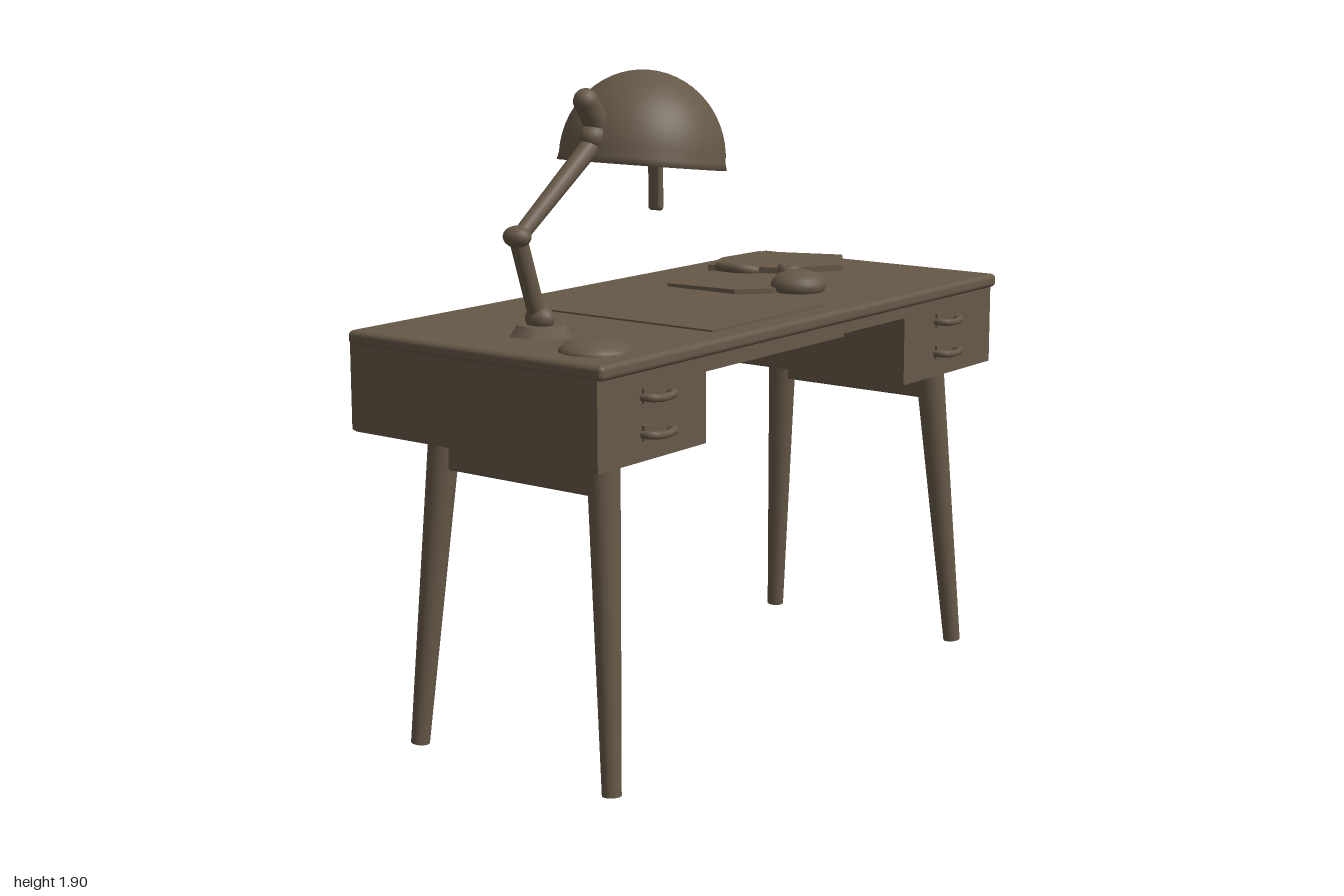
import * as THREE from 'three';
import { RoundedBoxGeometry } from 'three/addons/geometries/RoundedBoxGeometry.js';

const brown = new THREE.MeshStandardMaterial({ color: 0x665847, side: THREE.DoubleSide });
brown.name = 'dark brown';

export function createModel() {
  const model = new THREE.Group();
  model.name = 'deskWithLamp';
  const V = (x, y, z) => new THREE.Vector3(x, y, z);

  const add = (name, geometry, x = 0, y = 0, z = 0) => {
    const mesh = new THREE.Mesh(geometry, brown);
    mesh.name = name;
    mesh.position.set(x, y, z);
    model.add(mesh);
    return mesh;
  };
  // box given by its limits on each axis
  const block = (name, [x0, x1], [y0, y1], [z0, z1], r = 0) => {
    const s = [x1 - x0, y1 - y0, z1 - z0];
    const g = r ? new RoundedBoxGeometry(...s, 3, r) : new THREE.BoxGeometry(...s);
    return add(name, g, (x0 + x1) / 2, (y0 + y1) / 2, (z0 + z1) / 2);
  };
  // tapered rod from a to b
  const rod = (name, a, b, ra, rb = ra, sides = 16) => {
    const d = b.clone().sub(a);
    const mesh = add(name, new THREE.CylinderGeometry(rb, ra, d.length(), sides));
    mesh.position.copy(a).addScaledVector(d, 0.5);
    mesh.quaternion.setFromUnitVectors(V(0, 1, 0), d.normalize());
    return mesh;
  };
  const ball = (name, x, y, z, rx, ry, rz) => {
    const mesh = add(name, new THREE.SphereGeometry(1, 20, 14), x, y, z);
    mesh.scale.set(rx, ry, rz);
    return mesh;
  };
  // flat sheet from an outline of [x, z] corners
  const sheet = (name, points, top, thickness) => {
    const shape = new THREE.Shape(points.map(([x, z]) => new THREE.Vector2(x, z)));
    const g = new THREE.ExtrudeGeometry(shape, { depth: thickness, bevelEnabled: false });
    return add(name, g.rotateX(Math.PI / 2), 0, top, 0);
  };

  // desk body
  block('tabletop', [-1, 1], [1.165, 1.207], [-0.47, 0.44], 0.015);
  block('rightPedestal', [-0.995, -0.53], [0.922, 1.18], [-0.45, 0.42]);
  block('leftPedestal', [0.48, 0.995], [0.922, 1.18], [-0.45, 0.42]);
  block('backPanel', [-0.995, 0.995], [0.922, 1.18], [-0.468, -0.43], 0.008);
  block('frontApron', [-0.54, 0.49], [1.13, 1.18], [0.2, 0.42]);
  block('middleDrawer', [-0.54, 0.49], [1.05, 1.18], [-0.44, 0.2]);
  block('deskMat', [-0.42, 0.13], [1.2, 1.212], [-0.22, 0.36]);

  // drawer handles: curved pulls, two on each pedestal
  for (const x of [-0.755, 0.715]) {
    for (const y of [1.095, 0.995]) {
      const curve = new THREE.CatmullRomCurve3([
        V(-0.055, 0, -0.01), V(-0.048, 0, 0.028), V(0, -0.004, 0.036),
        V(0.048, 0, 0.028), V(0.055, 0, -0.01)]);
      add('drawerHandle', new THREE.TubeGeometry(curve, 20, 0.011, 8), x, y, 0.42);
      block('handlePlate', [x - 0.055, x + 0.055], [y - 0.018, y + 0.024], [0.415, 0.427]);
    }
  }

  // splayed legs with mounting collars, and a stretcher at each end
  for (const s of [-1, 1]) {
    for (const [zTop, zFoot] of [[0.3, 0.369], [-0.27, -0.336]]) {
      rod('leg', V(s * 0.885, 0.005, zFoot), V(s * 0.825, 0.925, zTop), 0.027, 0.046);
      add('legCollar', new THREE.CylinderGeometry(0.08, 0.048, 0.03, 16), s * 0.822, 0.91, zTop);
    }
    block('stretcher', [s * 0.83 - 0.02, s * 0.83 + 0.02], [0.812, 0.888], [-0.27, 0.3], 0.01);
  }

  // lamp foot and jointed arm
  const foot = add('lampFoot', new THREE.CylinderGeometry(0.075, 0.1, 0.035, 6), -0.73, 1.22, 0.01);
  foot.scale.z = 0.95;
  ball('footJoint', -0.745, 1.255, 0.015, 0.035, 0.035, 0.045);
  rod('lowerArm', V(-0.745, 1.25, 0.01), V(-0.825, 1.485, 0.01), 0.025);
  ball('elbowJoint', -0.828, 1.487, 0.01, 0.034, 0.03, 0.042);
  rod('upperArm', V(-0.828, 1.48, 0.01), V(-0.49, 1.725, 0.01), 0.022, 0.029);
  ball('shadeJoint', -0.5, 1.73, 0.01, 0.045, 0.04, 0.04);
  const knob = add('shadeKnob', new THREE.CapsuleGeometry(0.036, 0.1, 6, 14), -0.505, 1.79, 0.01);
  knob.rotation.z = 0.6;

  // hollow dome shade, tipped slightly towards the desk's left
  const profile = [];
  const dome = (r, h, from, to) => {
    for (let i = 0; i <= 14; i++) {
      const a = (from + (to - from) * i / 14) * Math.PI / 2;
      profile.push(new THREE.Vector2(Math.max(0, r * Math.cos(a)), h * Math.sin(a)));
    }
  };
  dome(0.222, 0.235, 1, 0);
  profile.push(new THREE.Vector2(0.227, -0.02), new THREE.Vector2(0.243, -0.02));
  dome(0.238, 0.25, 0, 1);
  const shade = add('lampShade', new THREE.LatheGeometry(profile, 40), -0.287, 1.655, 0.012);
  shade.rotation.z = -0.12;
  block('bulbStem', [-0.238, -0.214], [1.5, 1.83], [-0.01, 0.036], 0.01);
  rod('bulbHolder', V(-0.48, 1.73, 0.01), V(-0.226, 1.74, 0.012), 0.025);

  // loose papers and small objects on the tabletop
  sheet('crumpledPaper', [[0.13, -0.22], [0.3, -0.35], [0.37, -0.28], [0.5, -0.03],
    [0.42, 0.04], [0.35, 0.12], [0.24, 0.1], [0.15, 0.02]], 1.222, 0.02);
  sheet('largePaper', [[0.5, -0.34], [0.66, -0.4], [0.85, -0.39], [0.95, -0.12],
    [0.76, 0.01], [0.58, -0.1]], 1.226, 0.024);
  ball('roundObject', 0.33, 1.225, 0.13, 0.085, 0.048, 0.085);
  rod('pen', V(0.4, 1.228, 0.06), V(0.57, 1.23, -0.1), 0.022, 0.014, 8);
  ball('penCap', 0.56, 1.225, -0.05, 0.035, 0.022, 0.03);
  const hook = new THREE.CatmullRomCurve3([
    V(0.52, 1.22, -0.31), V(0.47, 1.23, -0.26), V(0.465, 1.23, -0.19), V(0.5, 1.22, -0.14)]);
  add('curvedClip', new THREE.TubeGeometry(hook, 16, 0.016, 8));
  ball('smallDish', -0.83, 1.205, 0.28, 0.1, 0.037, 0.1);
  return model;
}
